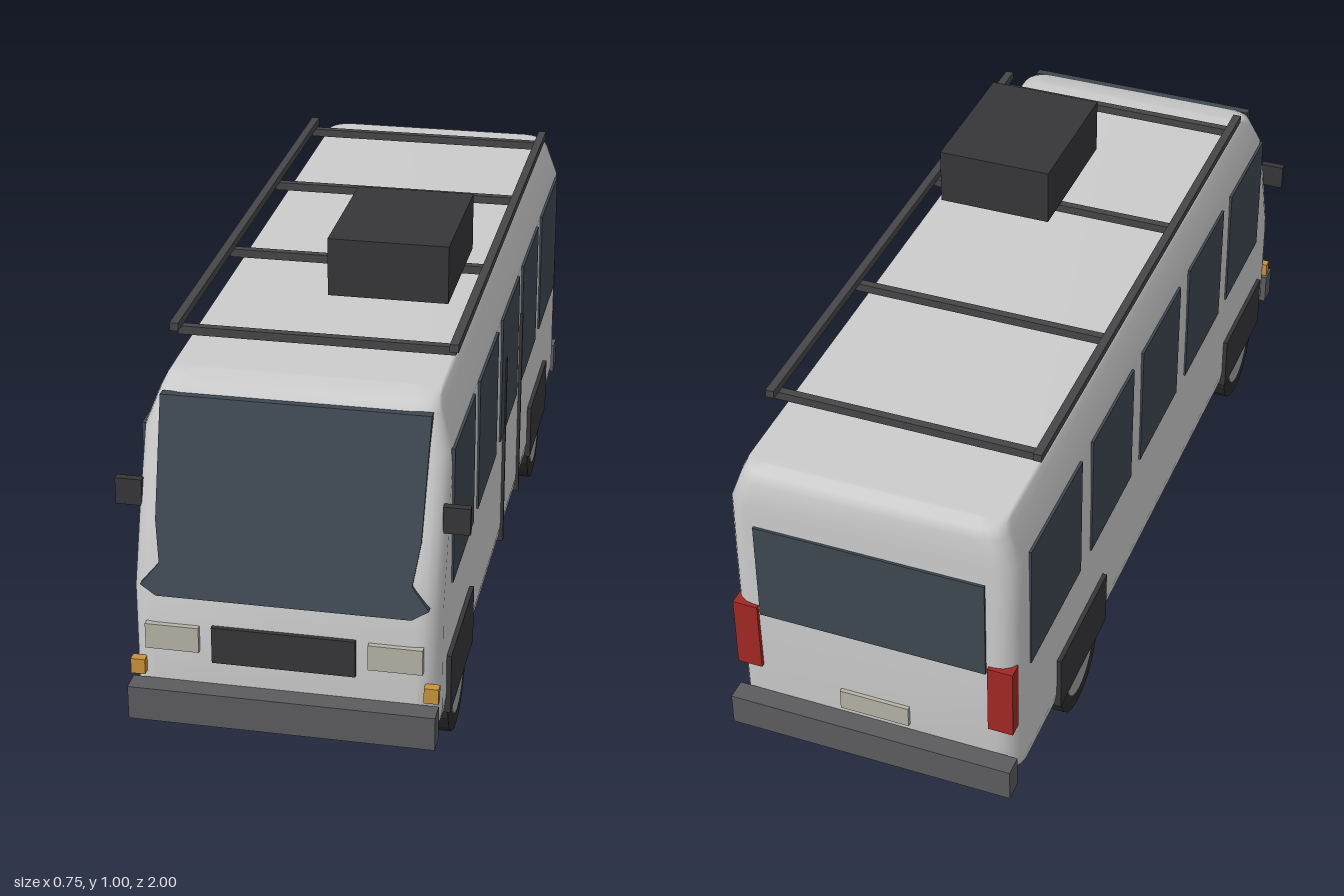
import * as THREE from 'three';

const mat = (color, extra = {}) => new THREE.MeshStandardMaterial({ color, ...extra });

// Body: rounded plan outlines stacked by height, closed by strips at roof and floor
function bodyGeometry() {
  // y, half width, front z, back z, corner radius
  const levels = [
    [0.115, 0.305, 0.915, -0.885, 0.05],
    [0.13, 0.322, 0.945, -0.935, 0.05],
    [0.16, 0.327, 0.953, -0.953, 0.05],
    [0.40, 0.327, 0.953, -0.955, 0.05],
    [0.56, 0.327, 0.899, -0.955, 0.05],
    [0.72, 0.325, 0.842, -0.955, 0.05],
    [0.79, 0.299, 0.817, -0.952, 0.05],
    [0.81, 0.291, 0.785, -0.938, 0.05],
    [0.82, 0.285, 0.725, -0.915, 0.05],
  ];
  const seg = 4, half = 2 * (seg + 1), ring = 2 * half;
  const pos = [], index = [];
  for (const [y, w, f, b, r] of levels) {
    const side = [];
    for (let i = 0; i <= seg; i++) {
      const a = (i / seg) * Math.PI / 2;
      side.push([w - r + r * Math.sin(a), f - r + r * Math.cos(a)]);
    }
    for (let i = 0; i <= seg; i++) {
      const a = (i / seg) * Math.PI / 2;
      side.push([w - r + r * Math.cos(a), b + r - r * Math.sin(a)]);
    }
    side.forEach(([x, z]) => pos.push(x, y, z));
    side.reverse().forEach(([x, z]) => pos.push(-x, y, z));
  }
  for (let l = 0; l < levels.length - 1; l++) {
    for (let i = 0; i < ring; i++) {
      const j = (i + 1) % ring, a = l * ring + i, b = l * ring + j;
      index.push(a, b, b + ring, a, b + ring, a + ring);
    }
  }
  const top = (levels.length - 1) * ring;
  for (let i = 0; i < half - 1; i++) {
    const p = i, q = i + 1, r = ring - 2 - i, s = ring - 1 - i;
    index.push(top + p, top + q, top + r, top + p, top + r, top + s);
    index.push(p, r, q, p, s, r);
  }
  const g = new THREE.BufferGeometry();
  g.setAttribute('position', new THREE.Float32BufferAttribute(pos, 3));
  g.setIndex(index);
  g.computeVertexNormals();
  return g;
}

// Windscreen: a flat outline sheared back along the sloping front
function windscreenGeometry() {
  const right = [[0.27, 0.40], [0.305, 0.42], [0.267, 0.465], [0.28, 0.55], [0.285, 0.797]];
  const outline = [...right, ...right.map(([x, y]) => [-x, y]).reverse()];
  const shape = new THREE.Shape(outline.map(([x, y]) => new THREE.Vector2(x, y)));
  const g = new THREE.ExtrudeGeometry(shape, { depth: 0.02, bevelEnabled: false });
  const p = g.attributes.position;
  for (let i = 0; i < p.count; i++) {
    p.setZ(i, p.getZ(i) + 0.941 - (p.getY(i) - 0.40) * 0.35);
  }
  g.computeVertexNormals();
  return g;
}

export function createModel() {
  const model = new THREE.Group();
  const paint = mat(0xcccccc, { side: THREE.DoubleSide });
  const glass = mat(0x3d4750);
  const black = mat(0x363638);
  const rubber = mat(0x2b2b2d, { flatShading: true });
  const trim = mat(0x5c5c5e);
  const rackGrey = mat(0x464648);
  const hubGrey = mat(0xa0a0a0);
  const lamp = mat(0xb5b2a5);
  const amber = mat(0xc8923a);
  const red = mat(0xa02824);

  const add = (name, geometry, material) => {
    const m = new THREE.Mesh(geometry, material);
    m.name = name;
    model.add(m);
    return m;
  };
  // Box given by its limits on each axis
  const box = (name, material, [x0, x1], [y0, y1], [z0, z1]) => {
    const m = add(name, new THREE.BoxGeometry(x1 - x0, y1 - y0, z1 - z0), material);
    m.position.set((x0 + x1) / 2, (y0 + y1) / 2, (z0 + z1) / 2);
    return m;
  };
  // The same box on both sides
  const pair = (name, material, [x0, x1], y, z) => {
    box(name + 'Left', material, [x0, x1], y, z);
    box(name + 'Right', material, [-x1, -x0], y, z);
  };

  add('body', bodyGeometry(), paint);
  add('windscreen', windscreenGeometry(), glass);

  // Side and rear windows
  const windows = [[0.53, 0.805], [0.19, 0.465], [-0.155, 0.12], [-0.495, -0.22], [-0.875, -0.565]];
  windows.forEach((z, i) => pair('sideWindow' + (i + 1), glass, [0.315, 0.331], [0.41, 0.72], z));
  box('rearWindow', glass, [-0.26, 0.26], [0.43, 0.675], [-0.961, -0.94]);

  // Door seams on the left side
  for (const z of [0.06, -0.208]) {
    box('doorSeam', black, [0.32, 0.334], [0.12, 0.60], [z - 0.005, z + 0.005]);
  }

  // Wheels and arch panels
  for (const [end, z] of [['front', 0.70], ['rear', -0.553]]) {
    pair(end + 'Arch', black, [0.31, 0.337], [0.122, 0.26], [z - 0.153, z + 0.153]);
    for (const s of [1, -1]) {
      const tyre = add(end + 'Tyre', new THREE.CylinderGeometry(0.122, 0.122, 0.075, 20), rubber);
      const hub = add(end + 'Hub', new THREE.CylinderGeometry(0.083, 0.083, 0.08, 20), hubGrey);
      for (const part of [tyre, hub]) {
        part.rotation.z = Math.PI / 2;
        part.position.set(s * 0.288, 0.122, z);
      }
    }
  }

  // Bumpers
  box('frontBumper', trim, [-0.328, 0.328], [0.12, 0.197], [0.953, 1.0]);
  box('rearBumper', trim, [-0.328, 0.328], [0.12, 0.197], [-1.0, -0.953]);

  // Grille, lights and plate
  box('grille', black, [-0.153, 0.153], [0.253, 0.337], [0.94, 0.963]);
  pair('headlight', lamp, [0.18, 0.295], [0.275, 0.333], [0.93, 0.965]);
  pair('indicator', amber, [0.298, 0.329], [0.21, 0.245], [0.945, 0.966]);
  pair('tailLight', red, [0.265, 0.322], [0.275, 0.45], [-0.964, -0.93]);
  box('rearPlate', lamp, [-0.08, 0.08], [0.215, 0.265], [-0.963, -0.945]);

  // Door mirrors
  pair('mirror', black, [0.318, 0.375], [0.56, 0.62], [0.855, 0.872]);

  // Roof rack and luggage
  pair('rackRail', rackGrey, [0.291, 0.31], [0.864, 0.882], [-0.762, 0.648]);
  for (const z of [0.61, 0.152, -0.308, -0.73]) {
    box('rackCrossbar', rackGrey, [-0.30, 0.30], [0.845, 0.864], [z - 0.009, z + 0.009]);
  }
  box('luggageBox', black, [-0.02, 0.247], [0.868, 1.0], [0.06, 0.40]);

  return model;
}
